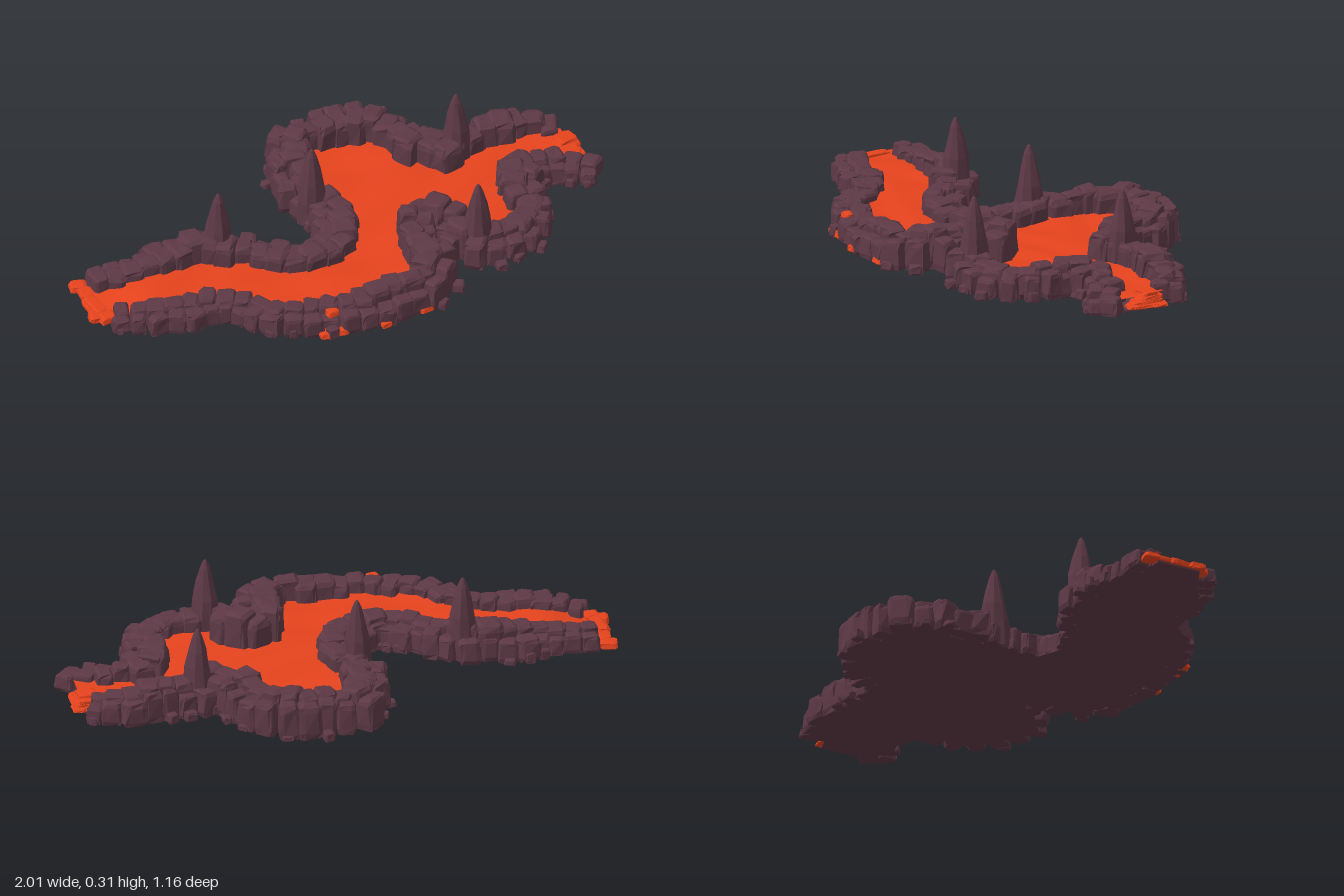
import * as THREE from 'three';
import { mergeGeometries } from 'three/addons/utils/BufferGeometryUtils.js';

// Bank centre lines as [x, z, height], left to right
const NORTH = [
  [-0.9, 0.0, 0.07], [-0.75, 0.01, 0.085], [-0.6, -0.01, 0.12], [-0.47, 0.0, 0.125], [-0.37, 0.06, 0.105],
  [-0.28, 0.13, 0.1], [-0.17, 0.165, 0.1], [-0.06, 0.13, 0.1], [0.0, 0.05, 0.105], [0.0, -0.07, 0.11],
  [-0.05, -0.17, 0.11], [-0.05, -0.29, 0.12], [-0.03, -0.4, 0.13], [0.03, -0.47, 0.135], [0.15, -0.48, 0.14],
  [0.27, -0.455, 0.145], [0.35, -0.37, 0.14], [0.4, -0.26, 0.14], [0.47, -0.215, 0.13], [0.57, -0.25, 0.125],
  [0.7, -0.28, 0.125], [0.79, -0.29, 0.11], [0.88, -0.25, 0.08]];
const SOUTH = [
  [-0.89, 0.21, 0.06], [-0.8, 0.245, 0.075], [-0.66, 0.265, 0.085], [-0.54, 0.28, 0.09], [-0.45, 0.335, 0.085],
  [-0.37, 0.41, 0.085], [-0.25, 0.455, 0.085], [-0.08, 0.48, 0.1], [0.06, 0.46, 0.11], [0.17, 0.43, 0.12],
  [0.22, 0.35, 0.135], [0.2, 0.26, 0.145], [0.22, 0.15, 0.155], [0.29, 0.11, 0.165], [0.35, 0.18, 0.16],
  [0.39, 0.27, 0.13], [0.48, 0.29, 0.105], [0.59, 0.265, 0.095], [0.65, 0.17, 0.1], [0.65, 0.04, 0.11],
  [0.69, -0.055, 0.11], [0.8, -0.065, 0.095], [0.88, -0.045, 0.08], [0.945, -0.01, 0.065]];

let seed = 7;
const rand = () => (seed = (seed * 16807) % 2147483647) / 2147483647;
const vary = (v, a) => v * (1 + (rand() * 2 - 1) * a);

function faceted(geometry) {
  const g = geometry.toNonIndexed();
  g.deleteAttribute('uv');
  g.computeVertexNormals();
  return g;
}

// Displacement shared by all vertices in the same place
const noise = (x, y, z, s) => {
  const n = Math.sin(Math.round(x * 50) * 12.99 + Math.round(y * 50) * 78.23 + Math.round(z * 50) * 37.72 + s) * 43758.55;
  return n - Math.floor(n) - 0.5;
};

// Blocky boulder with chipped edges and a flat underside
function boulder(x, y, z, w, h, d, angle) {
  const g = new THREE.BoxGeometry(1, 1, 1, 3, 3, 3);
  const p = g.attributes.position;
  const s = rand() * 100;
  for (let i = 0; i < p.count; i++) {
    const c = [p.getX(i), p.getY(i), p.getZ(i)];
    const outer = c.filter(v => Math.abs(v) > 0.4).length;
    const pull = [1, 1, 0.9, 0.82][outer];
    const [a, b, e] = c.map(v => (Math.abs(v) > 0.4 ? v : Math.sign(v) * 0.31));
    const top = b > 0 ? 0.95 : 1.04;
    const j = k => noise(c[0], c[1], c[2], s + k) * 0.12;
    p.setXYZ(i, a * pull * top + j(1), b < -0.4 ? 0 : b * pull + 0.5 + j(2) * 0.5, e * pull * top + j(3));
  }
  return faceted(g.scale(w, h, d).rotateY(angle).translate(x, y, z));
}

// Rows of boulders following one bank; side flips which way is outward
function buildBank(points, side, name, material) {
  const curve = new THREE.CatmullRomCurve3(points.map(([x, z, h]) => new THREE.Vector3(x, h, z)));
  const n = Math.round(curve.getLength() / 0.062);
  const main = [], outer = [], pebbles = [];
  for (let i = 0; i <= n; i++) {
    const p = curve.getPointAt(i / n), t = curve.getTangentAt(i / n).setY(0).normalize();
    const nx = t.z * side, nz = -t.x * side;
    const angle = Math.atan2(-t.z, t.x);
    // Stones shrink where the bank is low
    const k = THREE.MathUtils.clamp(0.4 + p.y * 5.5, 0.7, 1);
    const at = (list, off, w, h, d) => list.push(boulder(p.x + nx * off * k, 0, p.z + nz * off * k,
      vary(w * k, 0.2), h, vary(d * k, 0.2), angle + (rand() - 0.5) * 0.7));
    at(main, -0.01 + (rand() - 0.5) * 0.03, 0.086, vary(p.y, 0.08), 0.09);
    at(outer, 0.035 + rand() * 0.025, 0.075, p.y * (0.65 + rand() * 0.3), 0.068);
    if (rand() < 0.55) at(pebbles, 0.075 + rand() * 0.02, 0.04, 0.02 + rand() * 0.02, 0.036);
  }
  const group = new THREE.Group();
  group.name = name;
  [['bankBoulders', main], ['outerBoulders', outer], ['pebbles', pebbles]].forEach(([label, list]) => {
    const mesh = new THREE.Mesh(mergeGeometries(list), material);
    mesh.name = label;
    group.add(mesh);
  });
  return group;
}

// Pointed rock spire
function buildSpire(x, z, h, material) {
  const profile = [[0.054, 0], [0.051, 0.3], [0.044, 0.52], [0.031, 0.72], [0.018, 0.89], [0.008, 0.97], [0, 1]];
  const g = new THREE.LatheGeometry(profile.map(([r, y]) => new THREE.Vector2(r, y * h)), 9);
  const p = g.attributes.position;
  for (let i = 0; i < p.count; i++) {
    const k = 1 + noise(p.getX(i) * 10, p.getY(i) * 10, p.getZ(i) * 10, x) * 0.18;
    p.setX(i, p.getX(i) * k);
    p.setZ(i, p.getZ(i) * k);
  }
  const mesh = new THREE.Mesh(faceted(g), material);
  mesh.name = 'rockSpire';
  mesh.position.set(x, 0, z);
  return mesh;
}

function inside(x, z, poly) {
  let hit = false;
  for (let i = 0, j = poly.length - 1; i < poly.length; j = i++) {
    const a = poly[i], b = poly[j];
    if ((a.y > z) !== (b.y > z) && x < ((b.x - a.x) * (z - a.y)) / (b.y - a.y) + a.x) hit = !hit;
  }
  return hit;
}

// Gently uneven lava sheet, sinking at both ends: grid cells kept where they lie between the banks
function buildLava(outline, material) {
  const step = 0.02, pos = [];
  const height = (x, z) => 0.047 - 0.025 * THREE.MathUtils.smoothstep(-x, 0.75, 0.96)
    + 0.004 * Math.sin(x * 13 + Math.sin(z * 11) * 2) * Math.cos(z * 15 + x * 7);
  const put = (x, z) => pos.push(x, height(x, z), z);
  for (let x = -0.96; x < 0.94; x += step) {
    for (let z = -0.56; z < 0.56; z += step) {
      if (!inside(x + step / 2, z + step / 2, outline)) continue;
      put(x, z); put(x, z + step); put(x + step, z);
      put(x + step, z); put(x, z + step); put(x + step, z + step);
    }
  }
  const g = new THREE.BufferGeometry();
  g.setAttribute('position', new THREE.Float32BufferAttribute(pos, 3));
  g.computeVertexNormals();
  const mesh = new THREE.Mesh(g, material);
  mesh.name = 'lavaSurface';
  return mesh;
}

export function createModel() {
  const rock = new THREE.MeshStandardMaterial({ color: 0x5d3945 });
  rock.name = 'dark rock';
  const lava = new THREE.MeshStandardMaterial({ color: 0xe6431d, side: THREE.DoubleSide });
  lava.name = 'molten lava';
  const model = new THREE.Group();
  model.name = 'lavaRiver';

  // River outline between the two bank centre lines
  const line = pts => new THREE.SplineCurve(pts.map(([x, z]) => new THREE.Vector2(x, z))).getSpacedPoints(90);
  const outline = [new THREE.Vector2(-0.975, 0.0), ...line(NORTH), new THREE.Vector2(0.955, -0.22),
    new THREE.Vector2(0.955, -0.09), ...line(SOUTH).reverse(), new THREE.Vector2(-0.975, 0.17)];

  // Flat river bed
  const bedShape = new THREE.Shape(outline.map(p => new THREE.Vector2(p.x, -p.y)));
  const bed = new THREE.Mesh(
    new THREE.ExtrudeGeometry(bedShape, { depth: 0.008, bevelEnabled: false }).rotateX(-Math.PI / 2), rock);
  bed.name = 'riverBed';
  model.add(bed, buildLava(outline, lava));

  // Stone banks
  model.add(buildBank(NORTH, 1, 'northBank', rock), buildBank(SOUTH, -1, 'southBank', rock));

  // Spires
  [[-0.45, 0.0, 0.305], [-0.055, -0.12, 0.31], [0.42, 0.275, 0.31], [0.53, -0.24, 0.308]]
    .forEach(([x, z, h]) => model.add(buildSpire(x, z, h, rock)));

  // Thin lava crusts stacked at both ends, and flat lumps outside the south bank: [x, y, z, width, height, depth]
  const crusts = [
    [-0.965, 0.004, -0.025, 0.06, 0.022, 0.055], [-0.955, 0.008, 0.025, 0.05, 0.02, 0.06],
    [-0.96, 0.006, 0.09, 0.05, 0.018, 0.07], [-0.95, 0.018, 0.11, 0.045, 0.016, 0.11],
    [-0.965, 0.006, 0.16, 0.055, 0.025, 0.06], [-0.935, 0.008, 0.185, 0.06, 0.025, 0.05],
    [0.93, 0.008, -0.17, 0.07, 0.012, 0.13], [0.945, 0.008, -0.21, 0.05, 0.012, 0.06],
    [0.925, 0.02, -0.175, 0.06, 0.012, 0.11], [0.92, 0.033, -0.18, 0.07, 0.014, 0.09],
    [0.915, 0.046, -0.18, 0.07, 0.014, 0.06], [0.94, 0.008, -0.125, 0.05, 0.012, 0.06],
    [-0.245, 0.004, 0.525, 0.05, 0.018, 0.055], [-0.195, 0.004, 0.53, 0.06, 0.022, 0.05],
    [-0.22, 0.004, 0.54, 0.06, 0.014, 0.03], [-0.21, 0.065, 0.5, 0.045, 0.02, 0.035],
    [-0.03, 0.004, 0.55, 0.04, 0.02, 0.035], [0.13, 0.004, 0.515, 0.05, 0.018, 0.04]];
  const spill = new THREE.Mesh(
    mergeGeometries(crusts.map(c => boulder(...c, (rand() - 0.5) * 0.5))), lava);
  spill.name = 'lavaSpills';
  model.add(spill);
  return model;
}
